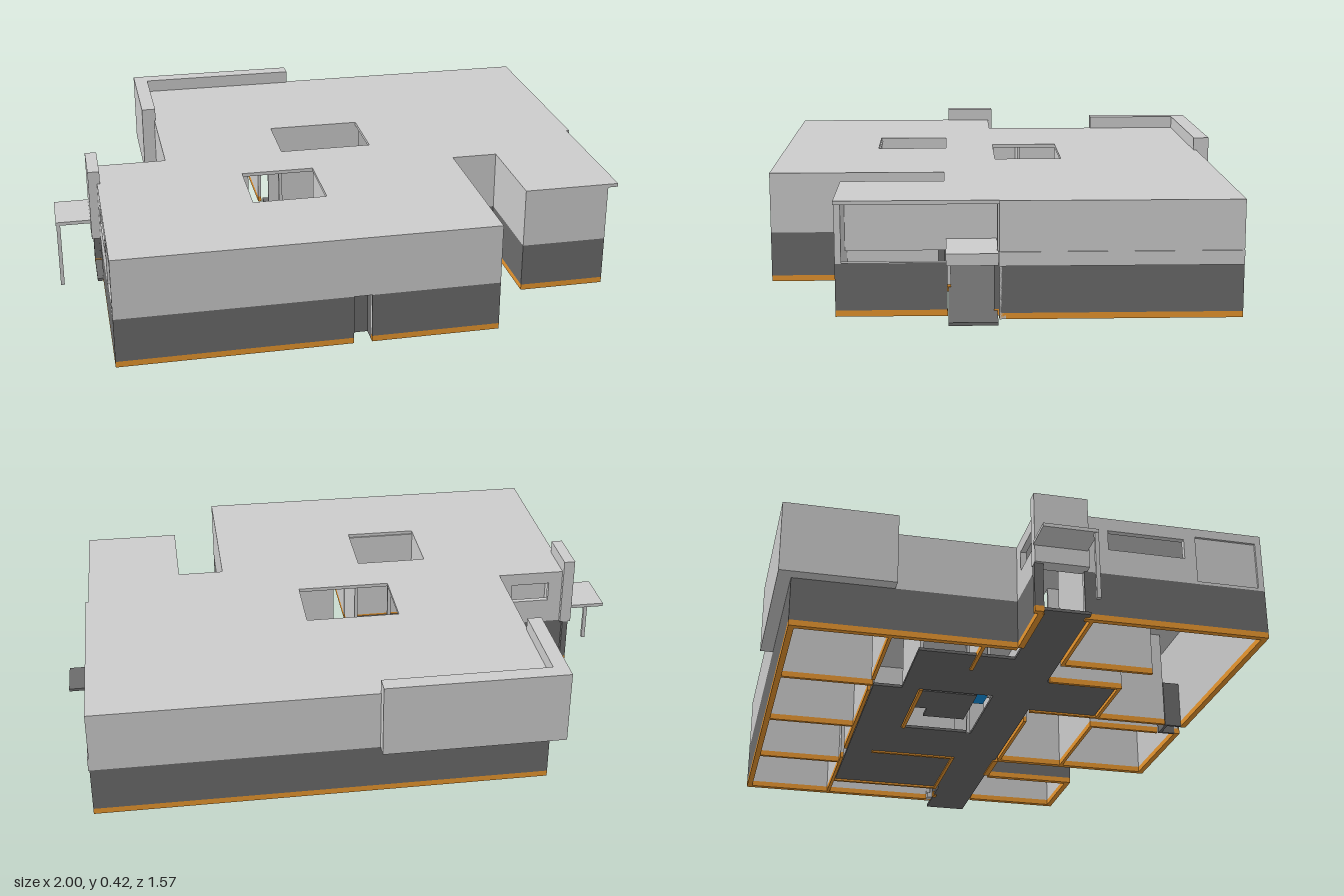
import * as THREE from 'three';

const mat = (color) => new THREE.MeshStandardMaterial({ color, flatShading: true, side: THREE.DoubleSide });
const light = mat(0xcccccc), dark = mat(0x6b6b6b), orange = mat(0xe8962e), blue = mat(0x1090e0);
const SILL = 0.02, BAND = 0.17, TOP = 0.375, SLAB = 0.012, T = 0.02;

// Box given by its min and max on each axis
function box(parent, name, m, x0, x1, y0, y1, z0, z1) {
  const mesh = new THREE.Mesh(new THREE.BoxGeometry(x1 - x0, y1 - y0, z1 - z0), m);
  mesh.position.set((x0 + x1) / 2, (y0 + y1) / 2, (z0 + z1) / 2);
  mesh.name = name;
  parent.add(mesh);
}

function rect(Type, x0, x1, y0, y1) {
  const p = new Type();
  p.moveTo(x0, y0).lineTo(x1, y0).lineTo(x1, y1).lineTo(x0, y1).closePath();
  return p;
}

// Outside wall from a to b; its outside is on local +z.
// doors: [start, end] along the wall; windows: [start, end, bottom, top]
function outerWall(parent, a, b, { doors = [], windows = [], cladding = dark, base = orange } = {}) {
  const dx = b[0] - a[0], dz = b[1] - a[1], L = Math.hypot(dx, dz);
  const g = new THREE.Group();
  g.name = 'outerWall';
  g.position.set(a[0], 0, a[1]);
  g.rotation.y = Math.atan2(-dz, dx);

  const shape = rect(THREE.Shape, 0, L, BAND, TOP - SLAB);
  windows.forEach((w) => shape.holes.push(rect(THREE.Path, ...w)));
  const upper = new THREE.Mesh(new THREE.ExtrudeGeometry(shape, { depth: T, bevelEnabled: false }), light);
  upper.position.z = -T;
  upper.name = 'upperWall';
  g.add(upper);

  // Cladding, light lining and base between the doors
  const cuts = [0, ...doors.flat(), L];
  for (let i = 0; i < cuts.length; i += 2) {
    const s = cuts[i], e = cuts[i + 1];
    box(g, 'cladding', cladding, s, e, SILL, BAND, -0.008, 0);
    box(g, 'wallBase', base, s, e, 0, SILL, -T, 0);
    const s1 = i === 0 ? s + T : s, e1 = i === cuts.length - 2 ? e - T : e;
    if (e1 > s1) box(g, 'innerLining', light, s1, e1, SILL, BAND, -T, -0.008);
  }
  parent.add(g);
}

// Inside wall with an orange base, along x or z
function partition(parent, x0, z0, x1, z1) {
  const h = 0.006, bx = [Math.min(x0, x1) - h, Math.max(x0, x1) + h], bz = [Math.min(z0, z1) - h, Math.max(z0, z1) + h];
  box(parent, 'partition', light, ...bx, SILL, TOP - SLAB, ...bz);
  box(parent, 'partitionBase', orange, ...bx, 0, SILL, ...bz);
}

export function createModel() {
  const house = new THREE.Group();
  house.name = 'house';

  // Outside walls
  const plan = [[-0.85, 0.78], [0.41, 0.78], [0.41, 0.19], [0.57, 0.19], [0.57, 0.53], [0.865, 0.53],
    [0.865, 0.02], [0.91, 0.02], [0.91, -0.74], [-0.6, -0.74], [-0.6, 0.01], [-0.85, 0.01]];
  const openings = {
    0: { doors: [[0.77, 0.83]] },
    5: { doors: [[0.35, 0.495]], windows: [[0.02, 0.505, 0.172, 0.36]] },
    6: { cladding: light, base: light },
    10: { windows: [[0.05, 0.19, 0.26, 0.33]] },
    11: { doors: [[0.02, 0.155]], windows: [[0.24, 0.5, 0.26, 0.33], [0.54, 0.75, 0.18, 0.345]] },
  };
  plan.forEach((p, i) => outerWall(house, p, plan[(i + 1) % plan.length], openings[i]));
  box(house, 'recessedPanel', light, -0.842, -0.834, 0.18, 0.345, 0.55, 0.76);
  box(house, 'sideLedge', light, 0.91, 0.914, BAND, 0.215, -0.74, 0.02);

  // Recessed front door
  box(house, 'frontDoor', dark, -0.09, -0.01, 0, BAND, 0.7, 0.71);
  [-0.09, -0.02].forEach((x) => box(house, 'doorJamb', dark, x, x + 0.01, 0, BAND, 0.71, 0.765));

  // Flat roof with two open courts
  const roofPlan = plan.map(([x, z]) => new THREE.Vector2(x === 0.865 ? 0.9 : x, -z));
  const roofShape = new THREE.Shape(roofPlan);
  const courts = [[-0.18, 0.145, -0.225, 0.01], [-0.35, -0.1, 0.185, 0.435]];
  courts.forEach(([x0, x1, z0, z1]) => roofShape.holes.push(rect(THREE.Path, x0, x1, -z1, -z0)));
  const roof = new THREE.Mesh(new THREE.ExtrudeGeometry(roofShape, { depth: SLAB, bevelEnabled: false }), light);
  roof.rotation.x = -Math.PI / 2;
  roof.position.y = TOP - SLAB;
  roof.name = 'roof';
  house.add(roof);

  // Raised screen wrapping the back left corner
  box(house, 'cornerScreenBack', light, -0.645, -0.03, BAND, 0.42, -0.785, -0.73);
  box(house, 'cornerScreenSide', light, -0.645, -0.595, BAND, 0.42, -0.73, -0.4);

  // Left entrance: fin, canopy, post and foot
  box(house, 'entranceFin', light, -0.88, -0.84, BAND, 0.42, -0.005, 0.175);
  box(house, 'leftCanopy', light, -1, -0.88, 0.228, 0.24, -0.01, 0.17);
  box(house, 'canopyPost', light, -0.998, -0.985, 0, 0.228, 0.157, 0.17);
  box(house, 'finFoot', dark, -0.87, -0.85, SILL, BAND, -0.005, 0.025);
  box(house, 'finFootBase', orange, -0.87, -0.85, 0, SILL, -0.005, 0.025);

  // Right entrance: canopy, wall above it and the through corridor's floor
  box(house, 'rightCanopy', light, 0.69, 0.905, BAND, 0.208, 0.022, 0.185);
  box(house, 'entranceBackWall', light, 0.68, 0.69, BAND, TOP - SLAB, 0.02, 0.51);
  box(house, 'corridorFloor', dark, -0.87, 1, 0.006, 0.016, 0.025, 0.178);

  // Other floors
  [[-0.18, -0.03, -0.225, -0.03], [-0.03, 0.04, -0.18, -0.03], [-0.35, -0.1, 0.178, 0.425],
    [0.16, 0.75, -0.4, 0.025], [-0.5, -0.19, -0.3, 0.025], [-0.19, 0.16, -0.4, -0.24]]
    .forEach(([x0, x1, z0, z1]) => box(house, 'floor', dark, x0, x1, 0.006, 0.016, z0, z1));
  box(house, 'blueFloor', blue, -0.18, -0.09, 0.016, 0.02, -0.225, 0.012);

  // Court walls and corner posts
  partition(house, -0.357, 0.436, -0.093, 0.436);
  partition(house, -0.357, 0.19, -0.357, 0.437);
  partition(house, -0.093, 0.19, -0.093, 0.437);
  partition(house, -0.187, -0.232, 0.152, -0.232);
  [[-0.187, 0.012], [0.152, 0.012]].forEach(([x, z]) =>
    box(house, 'courtPost', light, x - 0.006, x + 0.006, 0, TOP - SLAB, z - 0.006, z + 0.006));

  // Room partitions
  [[-0.58, -0.41, -0.25, -0.41], [-0.15, -0.41, 0.4, -0.41], [0.5, -0.41, 0.88, -0.41],
    [-0.2, -0.72, -0.2, -0.41], [0.18, -0.72, 0.18, -0.41], [0.55, -0.72, 0.55, -0.41],
    [0.76, -0.41, 0.76, 0.01], [0.42, -0.3, 0.42, 0.01], [0.42, 0.01, 0.76, 0.01],
    [-0.83, 0.19, -0.5, 0.19], [-0.5, 0.19, -0.5, 0.5], [-0.09, 0.45, -0.09, 0.69],
    [-0.01, 0.44, -0.01, 0.69], [0, 0.19, 0.39, 0.19], [-0.01, 0.44, 0.39, 0.44],
    [-0.58, -0.1, -0.4, -0.1]]
    .forEach((p) => partition(house, ...p));

  return house;
}
